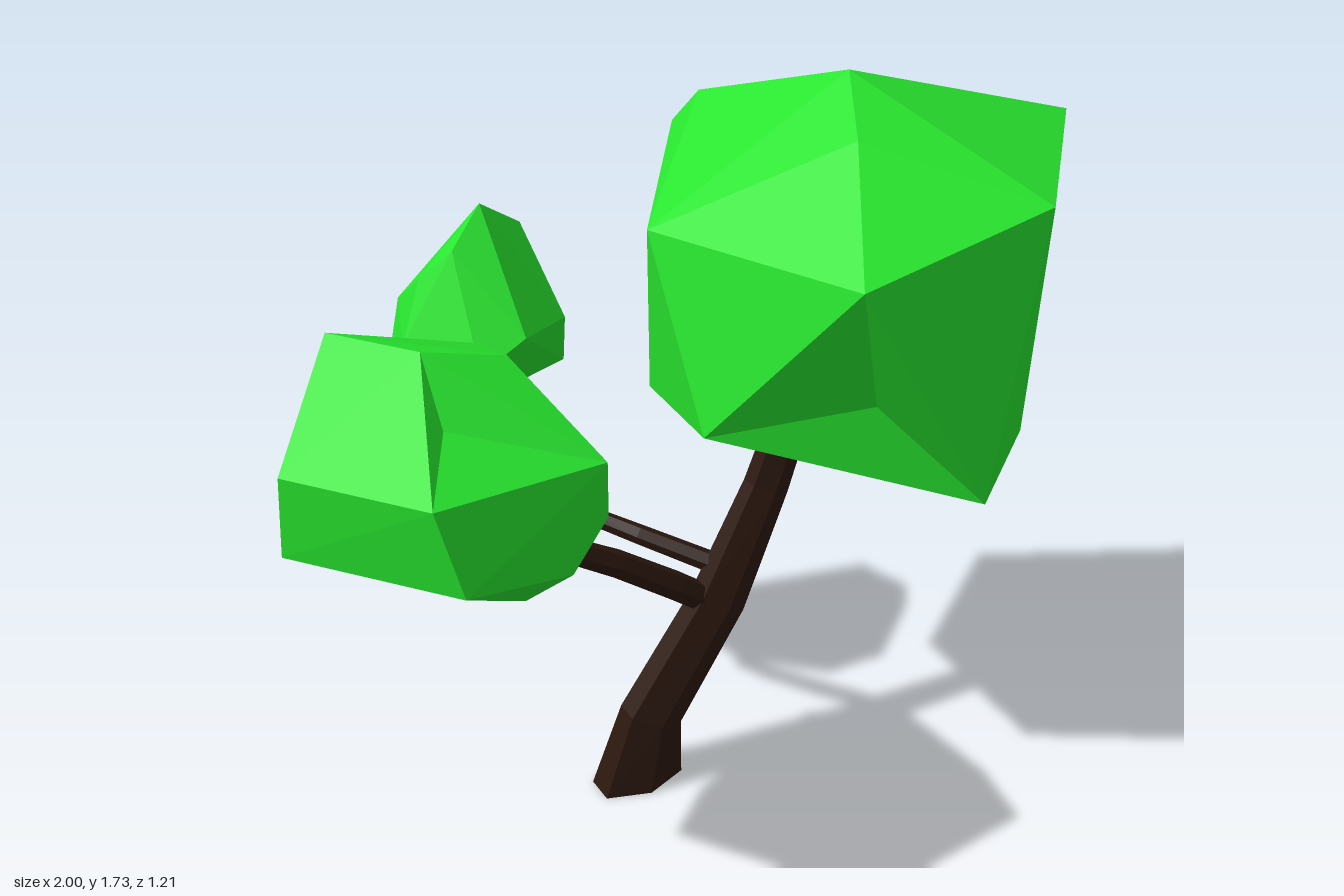
import * as THREE from 'three';
import { ConvexGeometry } from 'three/addons/geometries/ConvexGeometry.js';

const SIDES = 6;

// Faceted limb swept through rows of [x, y, z, radius, optional depth radius]
function limbGeometry(rows) {
  const centers = rows.map(([x, y, z]) => new THREE.Vector3(x, y, z));
  const ref = new THREE.Vector3(0, 0, 1);
  const positions = [], index = [];
  rows.forEach(([, , , r, rDepth = r], i) => {
    const t = centers[Math.min(i + 1, rows.length - 1)].clone().sub(centers[Math.max(i - 1, 0)]);
    if (centers[i].y === 0) t.set(0, 1, 0); // the foot is cut level with the ground
    t.normalize();
    const u = t.clone().cross(ref).normalize();
    const v = t.clone().cross(u);
    for (let j = 0; j < SIDES; j++) {
      const a = ((j + 0.5) / SIDES) * Math.PI * 2;
      const p = centers[i].clone()
        .addScaledVector(u, Math.cos(a) * r)
        .addScaledVector(v, Math.sin(a) * rDepth);
      positions.push(p.x, p.y, p.z);
    }
  });
  const top = (rows.length - 1) * SIDES;
  for (let i = 0; i < rows.length - 1; i++) {
    for (let j = 0; j < SIDES; j++) {
      const k = (j + 1) % SIDES;
      const a = i * SIDES + j, b = i * SIDES + k;
      index.push(a, b, b + SIDES, a, b + SIDES, a + SIDES);
    }
  }
  // End caps
  for (let j = 1; j < SIDES - 1; j++) {
    index.push(0, j + 1, j, top, top + j, top + j + 1);
  }
  const indexed = new THREE.BufferGeometry();
  indexed.setAttribute('position', new THREE.Float32BufferAttribute(positions, 3));
  indexed.setIndex(index);
  const geometry = indexed.toNonIndexed();
  geometry.computeVertexNormals();
  return geometry;
}

// Faceted leaf mass wrapped around its corners, with one face pushed in to the dent
function crownGeometry({ corners, dent }) {
  const hull = new ConvexGeometry(corners.map((p) => new THREE.Vector3(...p)));
  if (!dent) return hull;
  hull.computeBoundingBox();
  const center = hull.boundingBox.getCenter(new THREE.Vector3());
  const inner = new THREE.Vector3(...dent);
  const ray = new THREE.Ray(center, inner.clone().sub(center).normalize());
  const source = hull.getAttribute('position');
  const points = [];
  for (let i = 0; i < source.count; i += 3) {
    const [a, b, c] = [0, 1, 2].map((k) => new THREE.Vector3().fromBufferAttribute(source, i + k));
    const hit = ray.intersectTriangle(a, b, c, false, new THREE.Vector3());
    points.push(...(hit ? [a, b, inner, b, c, inner, c, a, inner] : [a, b, c]));
  }
  const geometry = new THREE.BufferGeometry().setFromPoints(points);
  geometry.computeVertexNormals();
  return geometry;
}

const LIMBS = {
  trunk: [
    [-0.157, 0, 0.105, 0.121, 0.072],
    [-0.122, 0.19, 0.115, 0.085, 0.058],
    [0.055, 0.47, 0.125, 0.076, 0.053],
    [0.195, 0.74, 0.108, 0.06, 0.042],
    [0.27, 0.95, 0.108, 0.052, 0.037],
  ],
  frontBranch: [
    [0.04, 0.47, 0.12, 0.035],
    [-0.06, 0.55, 0.12, 0.035],
    [-0.21, 0.66, 0.115, 0.033],
    [-0.33, 0.735, 0.11, 0.03],
    [-0.47, 0.80, 0.13, 0.028],
    [-0.54, 0.92, 0.2, 0.025],
  ],
  backBranch: [
    [0.06, 0.56, 0.1, 0.026],
    [-0.07, 0.61, -0.03, 0.024],
    [-0.19, 0.65, -0.17, 0.021],
    [-0.29, 0.73, -0.25, 0.018],
    [-0.37, 0.91, -0.375, 0.014],
    [-0.38, 1.02, -0.4, 0.012],
  ],
};

const CROWNS = {
  mainCrown: {
    corners: [
      // top
      [0.365, 1.73, 0.12], [0.26, 1.655, 0.31], [0.68, 1.61, 0.14],
      [0.21, 1.6, -0.24], [0.175, 1.515, -0.3],
      // upper rim
      [1, 1.52, 0.105], [0.565, 1.545, 0.58], [0.085, 1.475, 0.6], [-0.105, 1.45, 0.08],
      // waist
      [0.9, 1.18, 0.125], [-0.105, 1.065, 0.32], [0.215, 1.165, -0.4],
      // underside
      [0.45, 0.872, 0.59], [0.7, 0.89, 0.4], [0.45, 0.775, 0.12],
      [0, 0.96, -0.1], [0.43, 0.985, -0.315], [0.72, 0.93, -0.12],
    ],
    dent: [0.23, 1.12, 0.47],
  },
  leftCrown: {
    corners: [
      // top
      [-0.725, 1.435, 0.32], [-0.555, 1.39, 0.335], [-0.835, 1.41, 0.11], [-0.485, 1.27, 0.055],
      // middle
      [-0.82, 1.245, 0.565], [-1, 1.2, 0.24], [-0.445, 1.22, 0.53],
      [-0.775, 1.05, 0.585], [-0.44, 1.09, 0.52], [-0.915, 1.15, 0.07],
      [-0.59, 1.14, -0.04], [-0.37, 1.03, 0.21],
      // underside
      [-1, 0.995, 0.2], [-0.52, 0.98, 0.52], [-0.54, 0.81, 0.335],
      [-0.56, 0.91, 0.01], [-0.84, 0.96, 0.1],
    ],
    dent: [-0.73, 1.315, 0.42],
  },
  backCrown: {
    corners: [
      // top
      [-0.3, 1.395, -0.34], [-0.39, 1.315, -0.3], [-0.175, 1.3, -0.4], [-0.215, 1.295, -0.545],
      // middle
      [-0.45, 1.235, -0.36], [-0.29, 1.14, -0.145], [-0.405, 1.08, -0.145],
      [-0.14, 1.11, -0.25], [-0.51, 1.1, -0.33], [-0.41, 1.075, -0.605],
      // underside
      [-0.1, 0.945, -0.345], [-0.485, 0.91, -0.53], [-0.47, 0.94, -0.3],
      [-0.3, 0.965, -0.25], [-0.2, 1, -0.48],
    ],
  },
};

export function createModel() {
  const bark = new THREE.MeshStandardMaterial({ color: 0x2c180f, flatShading: true });
  const leaf = new THREE.MeshStandardMaterial({ color: 0x28e62f, flatShading: true });
  const tree = new THREE.Group();
  tree.name = 'tree';
  const add = (name, geometry, material) => {
    const mesh = new THREE.Mesh(geometry, material);
    mesh.name = name;
    tree.add(mesh);
  };
  for (const [name, rows] of Object.entries(LIMBS)) add(name, limbGeometry(rows), bark);
  for (const [name, crown] of Object.entries(CROWNS)) add(name, crownGeometry(crown), leaf);
  return tree;
}
